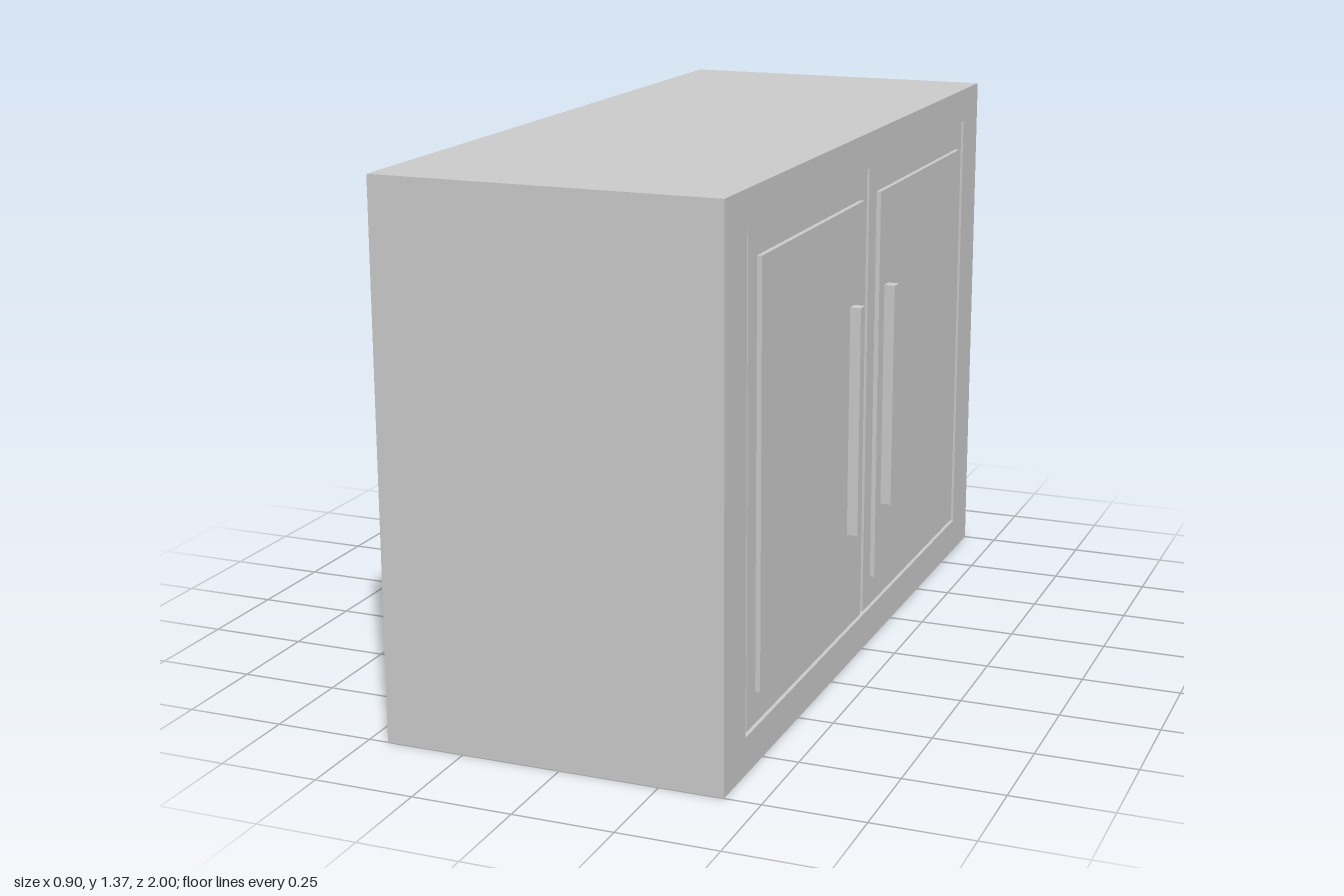
import * as THREE from 'three';

const material = new THREE.MeshStandardMaterial({ color: 0xcccccc, flatShading: true });

// Box given by its lower and upper limits on each axis
function block(name, [x0, x1], [y0, y1], [z0, z1]) {
  const mesh = new THREE.Mesh(new THREE.BoxGeometry(x1 - x0, y1 - y0, z1 - z0), material);
  mesh.name = name;
  mesh.position.set((x0 + x1) / 2, (y0 + y1) / 2, (z0 + z1) / 2);
  return mesh;
}

function rectangle(PathType, u0, v0, u1, v1) {
  return new PathType([[u0, v0], [u1, v0], [u1, v1], [u0, v1]].map(p => new THREE.Vector2(...p)));
}

export function createModel() {
  const group = new THREE.Group();
  group.name = 'cabinet';

  const height = 1.37, back = -0.45, front = 0.41, recess = 0.39;

  // Solid carcass behind the doors
  group.add(block('carcass', [back, recess], [0, height], [-1, 1]));

  // Face frame with one opening for both doors (drawn with u = -z, v = y)
  const outline = rectangle(THREE.Shape, -1, 0, 1, height);
  outline.holes.push(rectangle(THREE.Path, -0.864, 0.093, 0.86, 1.28));
  const frameGeometry = new THREE.ExtrudeGeometry(outline, { depth: front - recess, bevelEnabled: false });
  frameGeometry.rotateY(Math.PI / 2).translate(recess, 0, 0);
  const frame = new THREE.Mesh(frameGeometry, material);
  frame.name = 'faceFrame';
  group.add(frame);

  // Two doors, separated by narrow gaps, each with a raised panel and bar handle
  const doors = [
    { name: 'leftDoor', slab: [0.015, 0.853], panel: [0.073, 0.797], handle: [0.14, 0.172] },
    { name: 'rightDoor', slab: [-0.845, -0.005], panel: [-0.788, -0.064], handle: [-0.14, -0.107] },
  ];
  for (const { name, slab, panel, handle } of doors) {
    const door = new THREE.Group();
    door.name = name;
    door.add(
      block('doorSlab', [recess, front - 0.002], [0.102, 1.28], slab),
      block('raisedPanel', [front - 0.01, 0.42], [0.18, 1.21], panel),
      block('handle', [0.415, 0.448], [0.37, 0.96], handle),
    );
    group.add(door);
  }

  return group;
}
